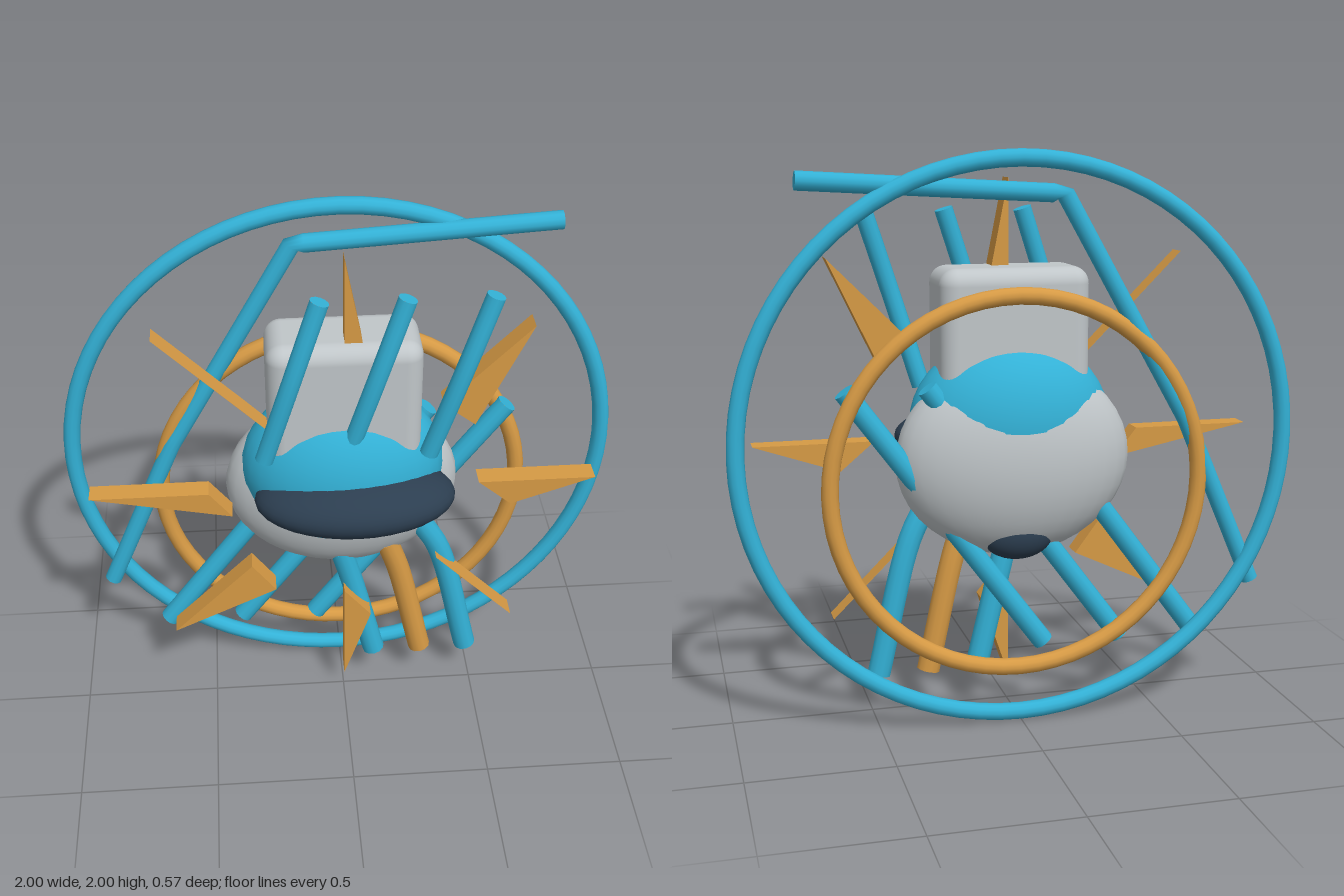
import * as THREE from 'three';
import { RoundedBoxGeometry } from 'three/addons/geometries/RoundedBoxGeometry.js';

const material = (name, color) => {
  const m = new THREE.MeshStandardMaterial({ color });
  m.name = name;
  return m;
};

export function createModel() {
  const group = new THREE.Group();
  const cyan = material('cyan', 0x33b1d6);
  const gold = material('gold', 0xd69a45);
  const grey = material('light grey', 0xc0c6c9);
  const navy = material('navy', 0x2c3e50);

  const add = (name, geometry, mat, x = 0, y = 0, z = 0) => {
    const mesh = new THREE.Mesh(geometry, mat);
    mesh.name = name;
    mesh.position.set(x, y, z);
    group.add(mesh);
    return mesh;
  };
  const ellipsoid = (name, mat, [x, y, z], [rx, ry, rz]) =>
    add(name, new THREE.SphereGeometry(1, 32, 20).scale(rx, ry, rz), mat, x, y, z);

  // Round rod along a path, closed at both ends
  const rod = (name, mat, points, radius, sharp = false) => {
    const v = points.map((p) => new THREE.Vector3(...p));
    let curve = new THREE.CatmullRomCurve3(v);
    if (sharp) {
      curve = new THREE.CurvePath();
      for (let i = 1; i < v.length; i++) curve.add(new THREE.LineCurve3(v[i - 1], v[i]));
    }
    add(name, new THREE.TubeGeometry(curve, sharp ? 60 : 16, radius, 12), mat);
    for (const t of [0, 1]) {
      const cap = add(name + 'Cap', new THREE.CircleGeometry(radius, 12), mat);
      const dir = curve.getTangent(t).multiplyScalar(t ? 1 : -1);
      cap.position.copy(curve.getPoint(t));
      cap.quaternion.setFromUnitVectors(new THREE.Vector3(0, 0, 1), dir);
    }
  };

  // Body, head, visor and tall block
  ellipsoid('body', grey, [0, 0.935, -0.1], [0.42, 0.35, 0.19]);
  ellipsoid('head', cyan, [0, 1.05, -0.05], [0.36, 0.31, 0.23]);
  ellipsoid('visor', navy, [0.035, 0.99, 0.08], [0.355, 0.115, 0.2]);
  ellipsoid('rearPatch', navy, [0, 0.67, -0.16], [0.13, 0.09, 0.075]);
  add('headBlock', new RoundedBoxGeometry(0.53, 0.6, 0.27, 4, 0.06), grey, 0, 1.3, -0.035);

  // Rings behind the body
  add('outerRing', new THREE.TorusGeometry(0.97, 0.03, 12, 80), cyan, 0, 1, -0.21);
  add('innerRing', new THREE.TorusGeometry(0.66, 0.03, 12, 64), gold, 0, 0.85, -0.19);

  // Eight skewed spikes around the centre
  for (let i = 0; i < 8; i++) {
    const a = (i * Math.PI) / 4, c = Math.cos(a), s = Math.sin(a);
    const shape = new THREE.Shape([
      new THREE.Vector2(0.9 * c, 0.9 * s),
      new THREE.Vector2(0.48 * c, 0.48 * s),
      new THREE.Vector2(0.5 * c + 0.1, 0.5 * s - 0.102),
    ]);
    add('spike', new THREE.ExtrudeGeometry(shape, { depth: 0.08, bevelEnabled: false }), gold, 0, 1, -0.03);
  }

  // Upper front rods
  for (const x of [-0.28, 0.005, 0.29])
    rod('upperRod', cyan, [[x, 1.17, 0.09], [x + 0.1, 1.5, 0.115], [x + 0.195, 1.79, 0.105]], 0.033);

  // Slanted rear rods
  for (const x of [-0.67, -0.385, -0.1])
    rod('rearRod', cyan, [[x, 0.26, -0.145], [x + 0.7, 1.2, -0.15]], 0.037);

  // Curved lower legs
  const legs = [[-0.01, 0.67, 0.03, 0.12, cyan], [0.16, 0.7, 0.21, 0.3, gold], [0.28, 0.79, 0.36, 0.48, cyan]];
  for (const [x0, y0, x1, x2, mat] of legs)
    rod('leg', mat, [[x0, y0, -0.02], [x1, y0 - 0.15, -0.03], [x2, 0.15, -0.035]], 0.042);

  // Long bent rail
  rod('bentRail', cyan, [[-0.875, 0.445, -0.18], [-0.61, 1.06, -0.18], [-0.16, 1.85, -0.18], [0.75, 1.9, -0.19]], 0.032, true);

  return group;
}
